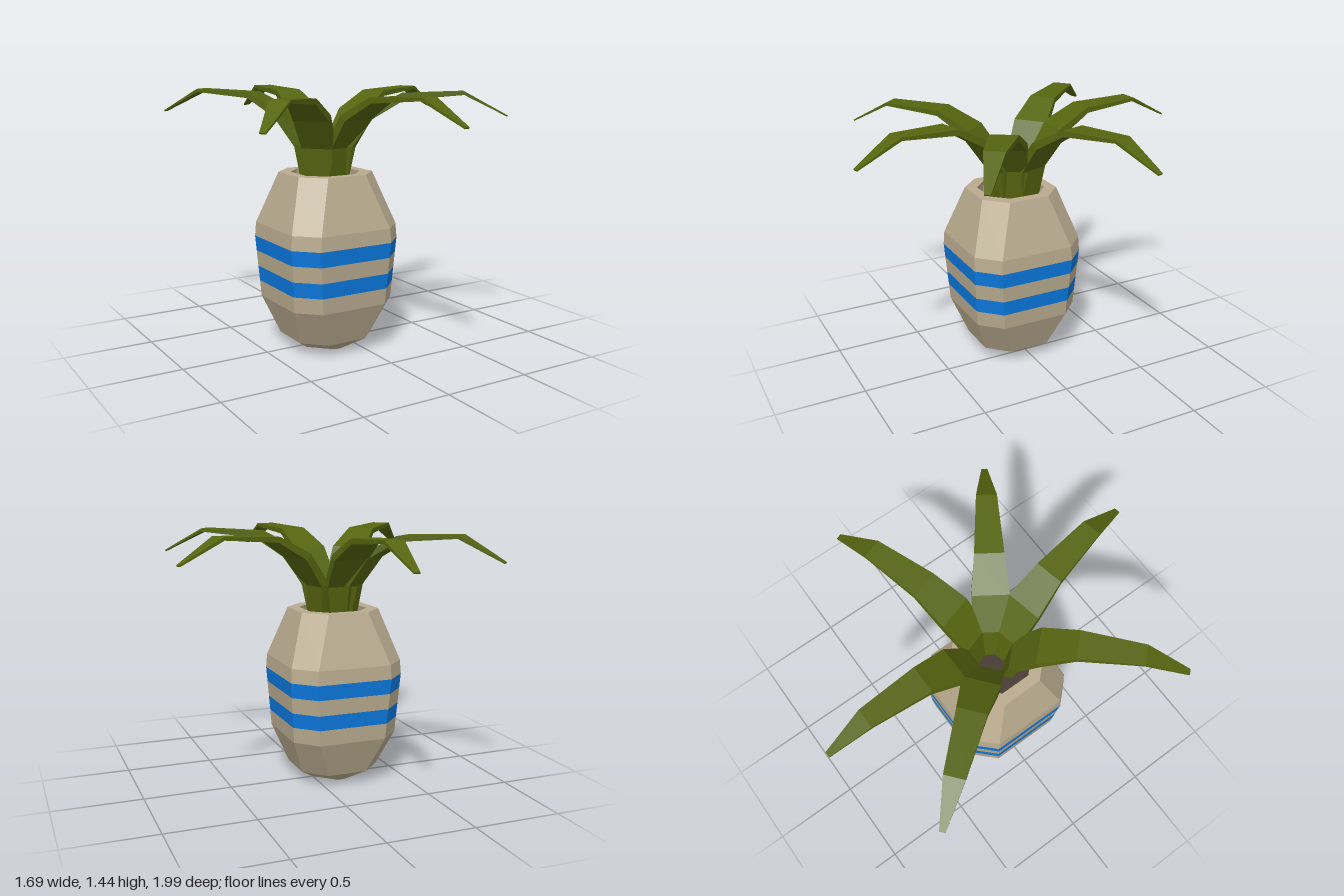
import * as THREE from 'three';

// Faceted skin through a list of rings with equal point counts
function loft(rings) {
  const pos = [];
  for (let k = 0; k < rings.length - 1; k++) {
    const a = rings[k], b = rings[k + 1], n = a.length;
    for (let i = 0; i < n; i++) {
      const j = (i + 1) % n;
      pos.push(...a[i], ...b[i], ...b[j], ...a[i], ...b[j], ...a[j]);
    }
  }
  const g = new THREE.BufferGeometry();
  g.setAttribute('position', new THREE.Float32BufferAttribute(pos, 3));
  g.computeVertexNormals();
  return g;
}

// Square ring of half-width h with cut corners
function octagon(h, y, cut = 0.115) {
  const c = Math.max(h - cut, 0);
  return [[h, y, -c], [h, y, c], [c, y, h], [-c, y, h],
    [-h, y, c], [-h, y, -c], [-c, y, -h], [c, y, -h]];
}

// Leaf stations: distance out, height, half-width, half-thickness
const LEAF = [
  [0.09, 0.91, 0.05, 0.03],
  [0.125, 1.15, 0.09, 0.027],
  [0.25, 1.315, 0.1, 0.022],
  [0.43, 1.415, 0.078, 0.016],
  [0.76, 1.435, 0.055, 0.009],
  [1.0, 1.31, 0.016, 0.004],
];

function leafGeometry() {
  const rings = LEAF.map(([r, y, w, t], i) => {
    const p = LEAF[Math.max(i - 1, 0)], q = LEAF[Math.min(i + 1, LEAF.length - 1)];
    const len = Math.hypot(q[0] - p[0], q[1] - p[1]);
    const nx = (q[1] - p[1]) / len * t, ny = -(q[0] - p[0]) / len * t;
    return [[r + nx, y + ny, -w], [r + nx, y + ny, w], [r - nx, y - ny, w], [r - nx, y - ny, -w]];
  });
  const cap = ([r, y]) => Array(4).fill([r, y, 0]);
  return loft([cap(LEAF[0]), ...rings, cap(LEAF[LEAF.length - 1])]);
}

export function createModel() {
  const mat = (name, color) => {
    const m = new THREE.MeshStandardMaterial({ color });
    m.name = name;
    return m;
  };
  const clay = mat('clay', 0xb8aa8e);
  const blue = mat('blue', 0x0b78de);
  const green = mat('leafGreen', 0x56640f);
  const earth = mat('soil', 0x43372f);

  const model = new THREE.Group();
  model.name = 'pottedPlant';
  const add = (parent, name, geometry, material) => {
    const mesh = new THREE.Mesh(geometry, material);
    mesh.name = name;
    parent.add(mesh);
    return mesh;
  };

  // Pot wall, painted bands, rim and inner wall
  const pot = new THREE.Group();
  pot.name = 'pot';
  pot.position.set(-0.132, 0, 0.024);
  model.add(pot);
  const side = (y) => octagon(0.312 + (y - 0.28) * 0.066, y);
  add(pot, 'potBase', loft([octagon(0, 0), octagon(0.135, 0), octagon(0.233, 0.07), side(0.28), side(0.37)]), clay);
  add(pot, 'lowerStripe', loft([side(0.37), side(0.455)]), blue);
  add(pot, 'middleBand', loft([side(0.455), side(0.545)]), clay);
  add(pot, 'upperStripe', loft([side(0.545), side(0.63)]), blue);
  add(pot, 'potShoulder', loft([side(0.63), octagon(0.33, 0.71), octagon(0.233, 1),
    octagon(0.172, 1, 0.085), octagon(0.18, 0.92, 0.085)]), clay);
  add(pot, 'soil', loft([octagon(0.18, 0.925, 0.085), octagon(0, 0.925)]), earth);

  // Six arching leaves, each turned towards its tip
  const plant = new THREE.Group();
  plant.name = 'leaves';
  plant.position.set(-0.12, 0, 0.003);
  model.add(plant);
  const geometry = leafGeometry();
  const tips = [[-0.13, -1], [0.845, -0.31], [0.715, 0.565], [0.085, 0.995], [-0.84, 0.69], [-0.76, -0.765]];
  tips.forEach(([x, z], i) => {
    const leaf = add(plant, `leaf${i + 1}`, geometry, green);
    leaf.rotation.y = -Math.atan2(z - plant.position.z, x - plant.position.x);
  });
  return model;
}
